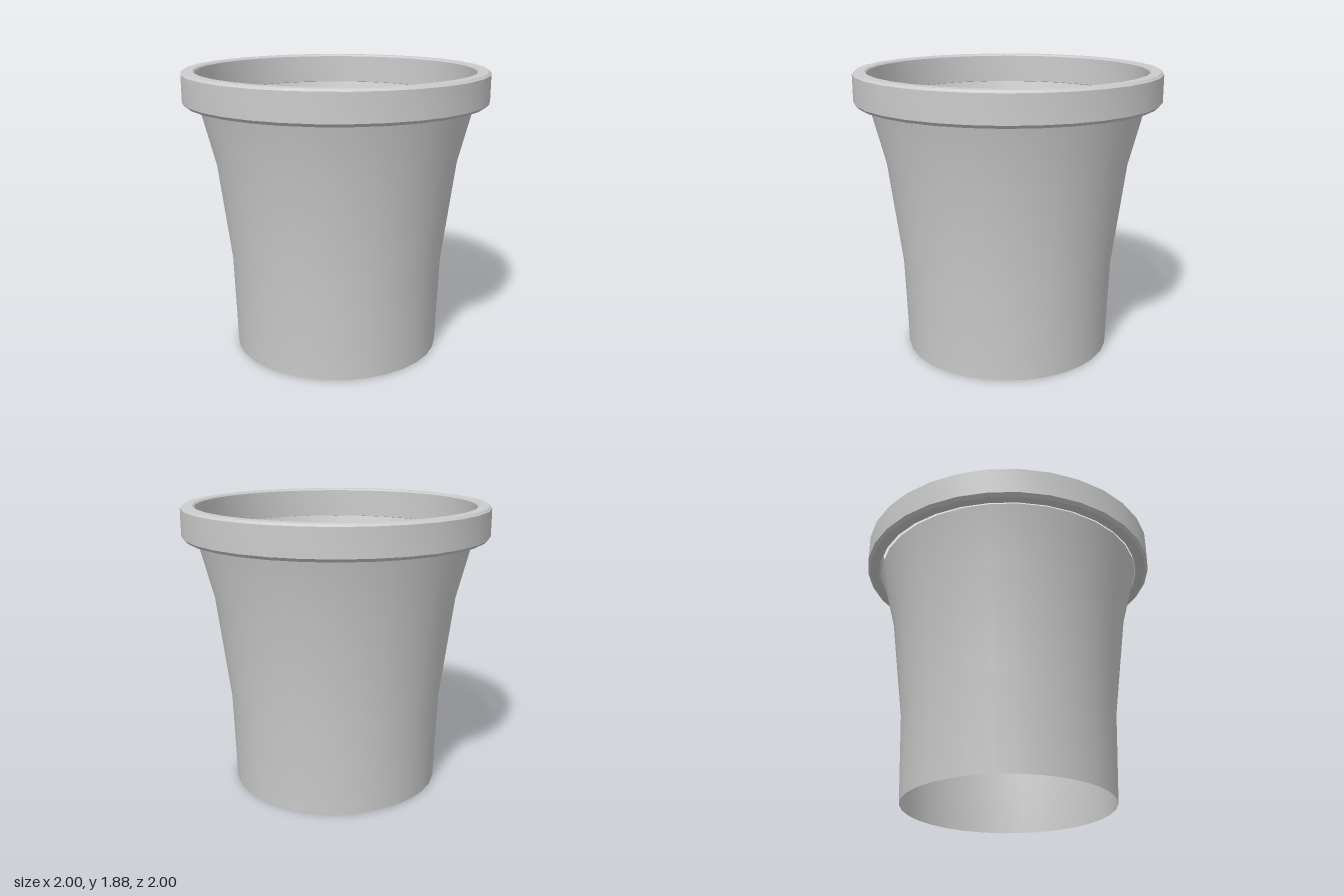
import * as THREE from 'three';
import { toCreasedNormals } from 'three/addons/utils/BufferGeometryUtils.js';

const SEGMENTS = 32;
const lathe = (profile) =>
  new THREE.LatheGeometry(profile.map(([r, y]) => new THREE.Vector2(r, y)), SEGMENTS);

export function createModel() {
  const group = new THREE.Group();
  group.name = 'flowerPot';

  // Thin flared wall, open at both ends
  const wall = new THREE.Mesh(
    lathe([[0.692, 0], [0.713, 0.6], [0.8, 1.28], [0.902, 1.68]]),
    new THREE.MeshStandardMaterial({ color: 0xcccccc, side: THREE.DoubleSide })
  );
  wall.name = 'wall';
  wall.position.set(0.002, 0, 0.006);
  group.add(wall);

  // Thick rim ring with small chamfers, profile runs up the outside and down the inside
  const rimProfile = [
    [0.98, 1.67], [1, 1.69], [1, 1.865], [0.985, 1.88],
    [0.922, 1.88], [0.912, 1.87], [0.912, 1.68], [0.922, 1.67], [0.98, 1.67],
  ];
  const rim = new THREE.Mesh(
    toCreasedNormals(lathe(rimProfile), 0.4),
    new THREE.MeshStandardMaterial({ color: 0xcccccc })
  );
  rim.name = 'rim';
  group.add(rim);

  return group;
}
